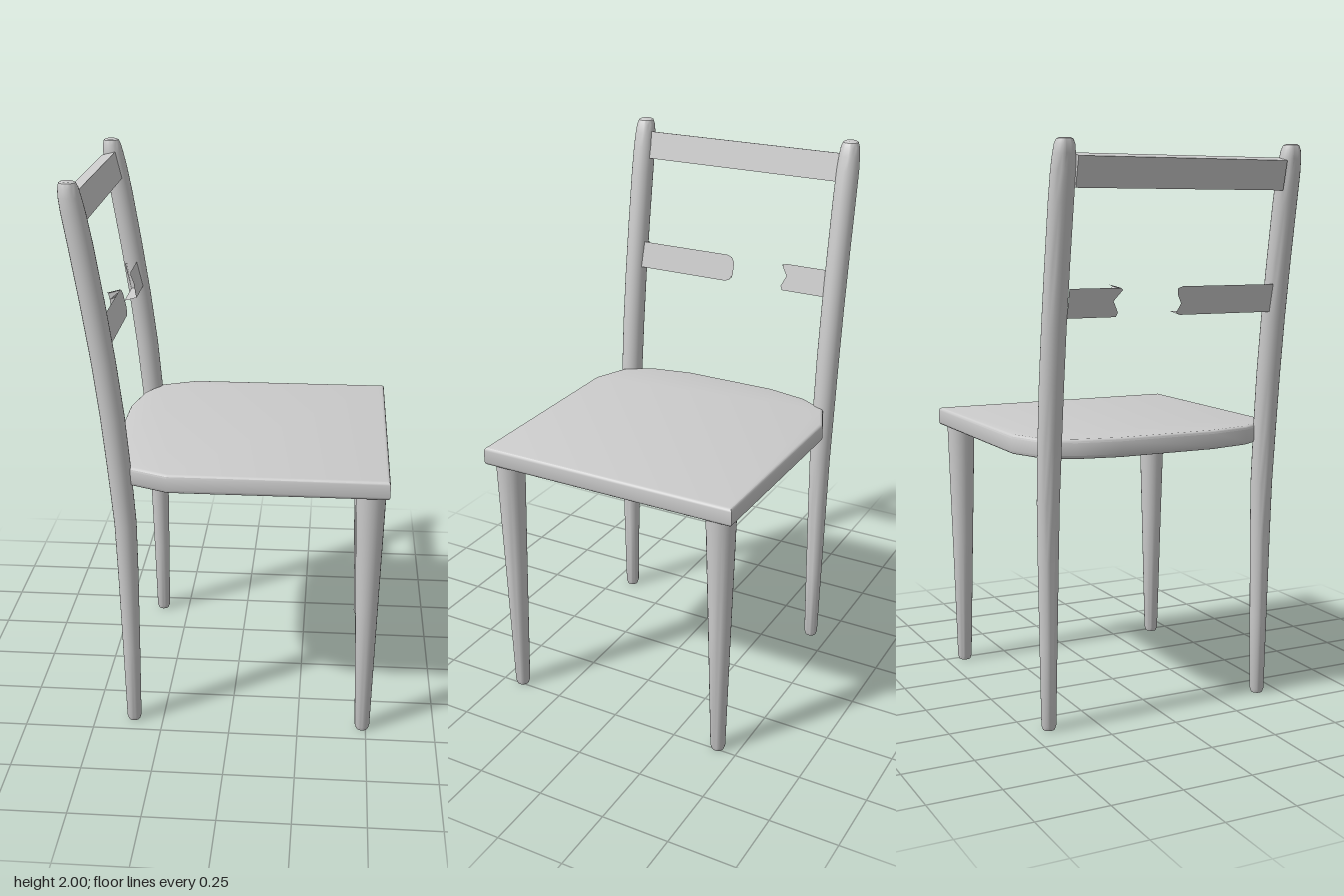
import * as THREE from 'three';
import { toCreasedNormals } from 'three/addons/utils/BufferGeometryUtils.js';

const material = new THREE.MeshStandardMaterial({ color: 0xcccccc });

function part(name, geometry, crease = 0.6) {
  const mesh = new THREE.Mesh(toCreasedNormals(geometry, crease), material);
  mesh.name = name;
  return mesh;
}

// Round post through stations [x, y, radius], listed from top to bottom
function post(stations) {
  const rows = stations.length - 1;
  const geo = new THREE.CylinderGeometry(1, 1, 1, 24, rows);
  const p = geo.attributes.position;
  for (let i = 0; i < p.count; i++) {
    const [x, y, r] = stations[Math.round((0.5 - p.getY(i)) * rows)];
    p.setXYZ(i, x + p.getX(i) * r, y, p.getZ(i) * r);
  }
  return geo;
}

// Slat lofted between a front and a back outline of [z, y] points
function slat(front, back, depth) {
  const n = front.length;
  const pts = [
    ...front.map(([z, y]) => [depth / 2, y, z]),
    ...back.map(([z, y]) => [-depth / 2, y, z]),
  ];
  const faces = (outline) =>
    THREE.ShapeUtils.triangulateShape(outline.map(([z, y]) => new THREE.Vector2(z, y)), []);
  // Make the winding the same for every outline
  const ccw = THREE.ShapeUtils.area(front.map(([z, y]) => new THREE.Vector2(z, y))) > 0;
  const index = [];
  const add = (a, b, c) => (ccw ? index.push(a, c, b) : index.push(a, b, c));
  const signed = (outline, [a, b, c]) => {
    const [A, B, C] = [outline[a], outline[b], outline[c]];
    return (B[0] - A[0]) * (C[1] - A[1]) - (B[1] - A[1]) * (C[0] - A[0]) > 0;
  };
  for (const f of faces(front)) {
    const [a, b, c] = f;
    if (signed(front, f)) index.push(a, c, b);
    else index.push(a, b, c);
  }
  for (const f of faces(back)) {
    const [a, b, c] = f.map((i) => i + n);
    if (signed(back, f)) index.push(a, b, c);
    else index.push(a, c, b);
  }
  for (let i = 0; i < n; i++) {
    const j = (i + 1) % n;
    add(i, j, j + n);
    add(i, j + n, i + n);
  }
  const geo = new THREE.BufferGeometry();
  geo.setAttribute('position', new THREE.Float32BufferAttribute(pts.flat(), 3));
  geo.setIndex(index);
  return geo;
}

export function createModel() {
  const chair = new THREE.Group();
  chair.name = 'chair';

  // Seat: square at the front, tapering to a faceted curve at the back
  const bevel = 0.012;
  const side = [[0.538, 0.48], [-0.208, 0.48], [-0.335, 0.427], [-0.393, 0.33], [-0.423, 0.18]];
  const outline = [...side, ...side.map(([x, z]) => [x, -z]).reverse()];
  const seatGeo = new THREE.ExtrudeGeometry(
    new THREE.Shape(outline.map(([x, z]) => new THREE.Vector2(x, z))),
    { depth: 0.068 - 2 * bevel, bevelEnabled: true, bevelSize: bevel, bevelThickness: bevel, bevelSegments: 3 }
  );
  seatGeo.rotateX(-Math.PI / 2).translate(0, 0.948 + bevel, 0);
  chair.add(part('seat', seatGeo));

  // Tapered front legs and curved back posts
  const frontLeg = [[0.487, 0.96, 0.053], [0.487, 0.5, 0.04], [0.487, 0.015, 0.027], [0.487, 0, 0.022]];
  const backPost = [
    [-0.519, 2, 0.02], [-0.518, 1.996, 0.028], [-0.516, 1.98, 0.034], [-0.512, 1.95, 0.038],
    [-0.503, 1.9, 0.041], [-0.485, 1.8, 0.042], [-0.453, 1.6, 0.042], [-0.424, 1.4, 0.042],
    [-0.4, 1.2, 0.042], [-0.382, 1, 0.041], [-0.367, 0.8, 0.039], [-0.363, 0.6, 0.036],
    [-0.36, 0.3, 0.031], [-0.358, 0.015, 0.026], [-0.358, 0, 0.021],
  ];
  for (const s of [1, -1]) {
    const label = s > 0 ? 'Left' : 'Right';
    const leg = part('frontLeg' + label, post(frontLeg));
    const back = part('backPost' + label, post(backPost));
    leg.position.z = back.position.z = s * 0.424;
    chair.add(leg, back);
  }

  // Top rail, leaning with the posts
  const rail = part('topRail', new THREE.BoxGeometry(0.051, 0.102, 0.78), 0.3);
  rail.position.set(-0.512, 1.9, 0);
  rail.rotation.z = 0.23;
  chair.add(rail);

  // Broken middle slat: a long stub with a worn end and a short notched stub
  const longFront = [[0.39, -0.05], [0.39, 0.05], [0.02, 0.05], [0, 0.043], [-0.012, 0.025],
    [-0.012, -0.022], [0, -0.043], [0.018, -0.05]];
  const longBack = [[0.39, -0.05], [0.39, 0.05], [0.03, 0.05], [0.012, 0.043], [0.015, 0.02],
    [0.03, -0.01], [0.015, -0.043], [0.03, -0.05]];
  const shortFront = [[-0.39, -0.05], [-0.39, 0.05], [-0.228, 0.05], [-0.212, 0.043], [-0.234, 0.005],
    [-0.215, -0.035], [-0.222, -0.05]];
  const shortBack = [[-0.39, -0.05], [-0.39, 0.05], [-0.205, 0.05], [-0.195, 0.043], [-0.226, 0.005],
    [-0.206, -0.035], [-0.212, -0.05]];
  const stubs = [['longSlatStub', longFront, longBack], ['shortSlatStub', shortFront, shortBack]];
  for (const [name, front, back] of stubs) {
    const stub = part(name, slat(front, back, 0.047), 0.5);
    stub.position.set(-0.44, 1.48, 0);
    stub.rotation.z = 0.22;
    chair.add(stub);
  }
  return chair;
}
